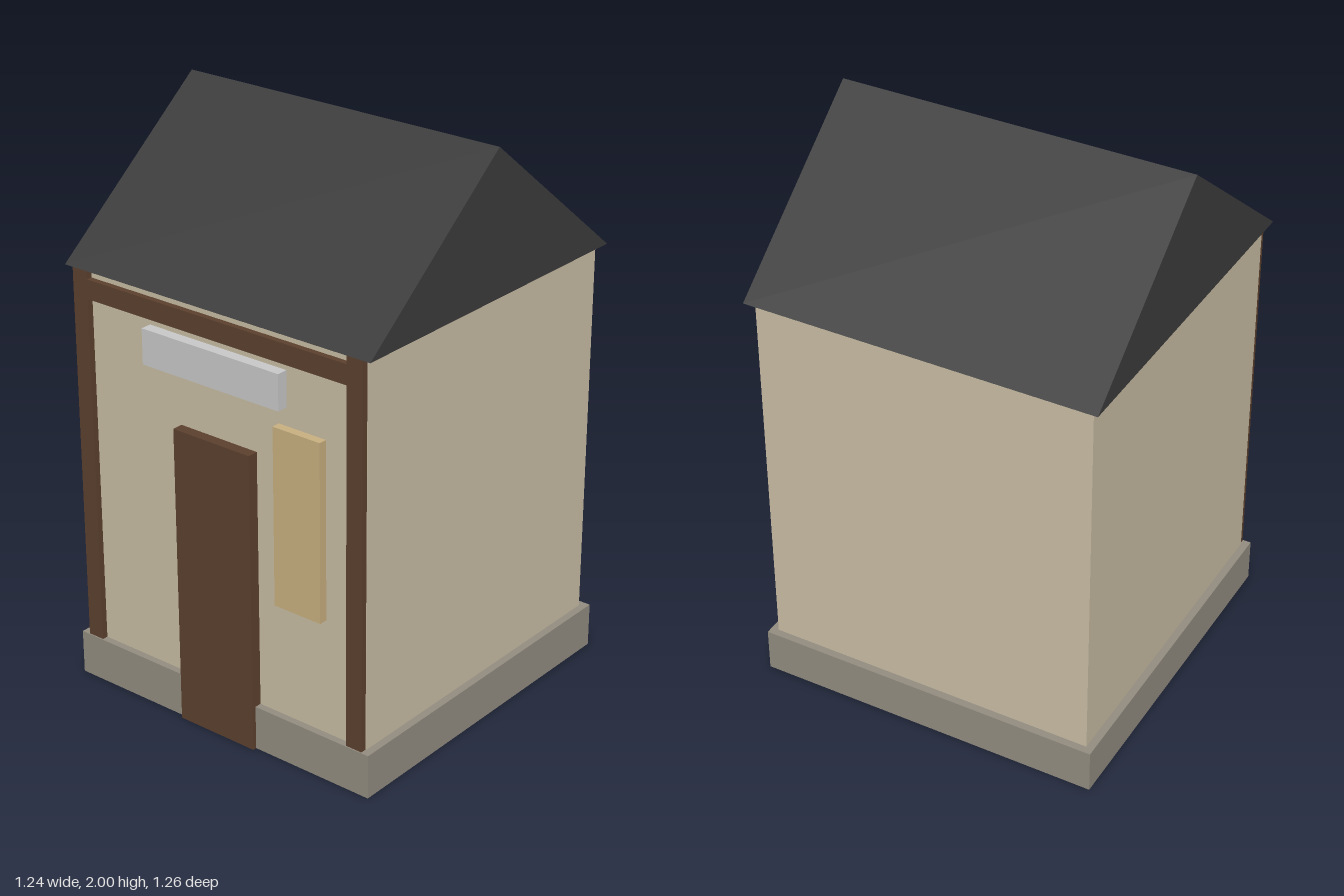
import * as THREE from 'three';

const paint = (name, color) => {
  const m = new THREE.MeshStandardMaterial({ color });
  m.name = name;
  return m;
};

export function createModel() {
  const house = new THREE.Group();
  house.name = 'house';
  const plaster = paint('plaster', 0xc8bca4);
  const stone = paint('stone', 0x928c80);
  const wood = paint('darkWood', 0x5c402d);
  const slate = paint('slate', 0x3c3c3c);
  const signPaint = paint('signGrey', 0xc8c8c8);
  const boardPaint = paint('boardTan', 0xc8b080);

  // box given by its lower and upper limits on each axis
  const block = (name, mat, [x0, x1], [y0, y1], [z0, z1]) => {
    const mesh = new THREE.Mesh(new THREE.BoxGeometry(x1 - x0, y1 - y0, z1 - z0), mat);
    mesh.position.set((x0 + x1) / 2, (y0 + y1) / 2, (z0 + z1) / 2);
    mesh.name = name;
    house.add(mesh);
  };

  // main body
  block('foundation', stone, [-0.622, 0.622], [0, 0.157], [-0.629, 0.615]);
  block('walls', plaster, [-0.595, 0.595], [0.1, 1.505], [-0.602, 0.59]);

  // timber frame on the front
  for (const [name, s] of [['leftPost', 1], ['rightPost', -1]]) {
    const xs = [s * 0.53, s * 0.592].sort((a, b) => a - b);
    block(name, wood, xs, [0.157, 1.504], [0.58, 0.611]);
  }
  block('beam', wood, [-0.53, 0.53], [1.405, 1.473], [0.58, 0.611]);

  // door, sign and notice board
  block('door', wood, [-0.157, 0.157], [0, 1.065], [0.58, 0.629]);
  block('sign', signPaint, [-0.28, 0.28], [1.253, 1.377], [0.58, 0.629]);
  block('noticeBoard', boardPaint, [0.248, 0.434], [0.567, 1.19], [0.58, 0.62]);

  // gable roof: triangle extruded along x
  const gable = new THREE.Shape();
  gable.moveTo(-0.622, 0);
  gable.lineTo(0.622, 0);
  gable.lineTo(0, 0.497);
  gable.closePath();
  const roofGeo = new THREE.ExtrudeGeometry(gable, { depth: 1.244, bevelEnabled: false });
  roofGeo.translate(0, 0, -0.622).rotateY(Math.PI / 2);
  const roof = new THREE.Mesh(roofGeo, slate);
  roof.position.set(0, 1.503, -0.007);
  roof.name = 'roof';
  house.add(roof);

  return house;
}
